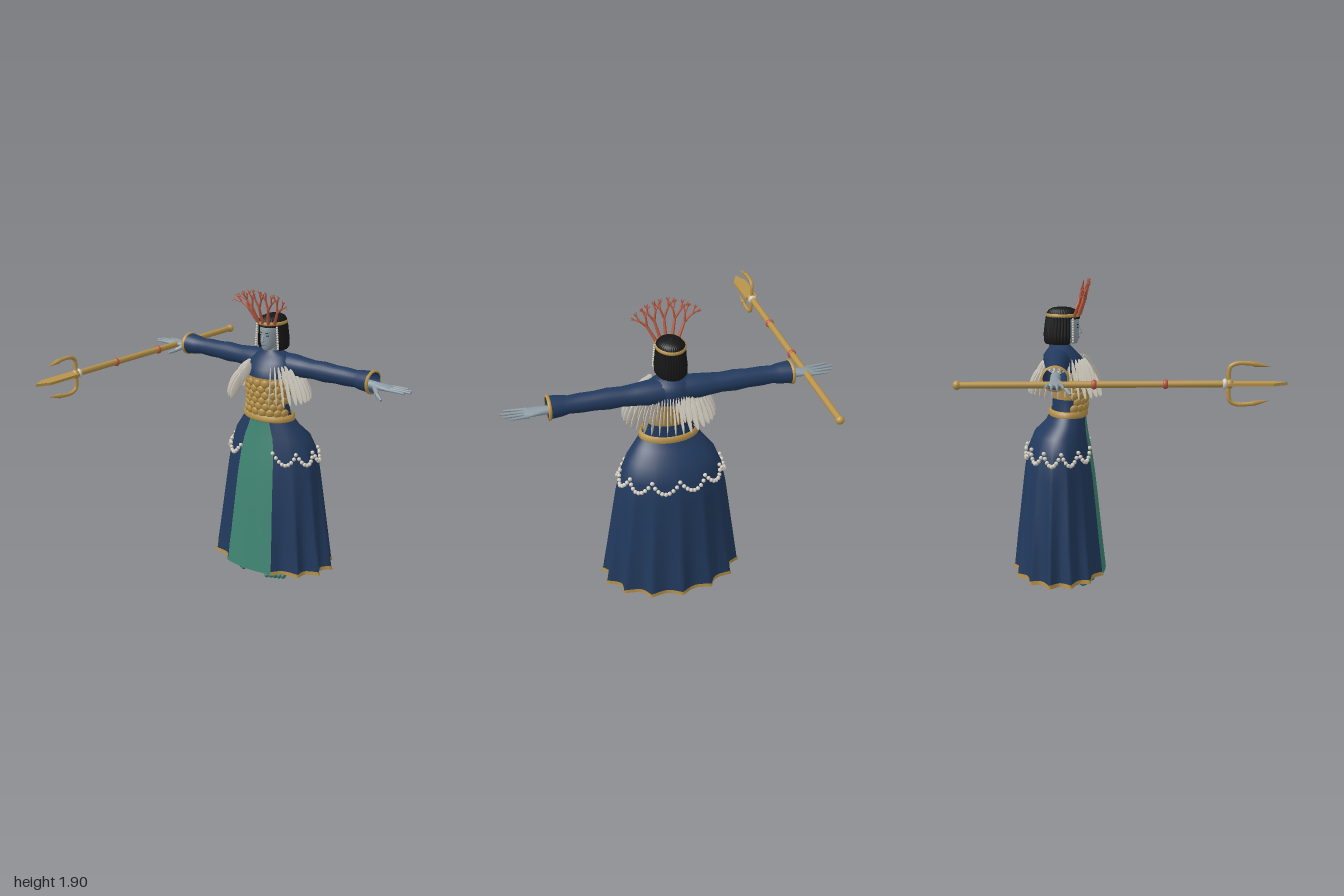
import * as THREE from 'three';
import { mergeGeometries } from 'three/addons/utils/BufferGeometryUtils.js';

const paint = (name, color, side = THREE.FrontSide) => {
  const m = new THREE.MeshStandardMaterial({ color, side });
  m.name = name;
  return m;
};

export function createModel() {
  const root = new THREE.Group();
  root.name = 'seaQueen';
  const navy = paint('navyCloth', 0x223a5e, THREE.DoubleSide);
  const gold = paint('gold', 0xb8934a, THREE.DoubleSide);
  const green = paint('seaGreen', 0x3f8472, THREE.DoubleSide);
  const pearl = paint('pearl', 0xcfc9bd);
  const coral = paint('coral', 0xb5583f);
  const skin = paint('paleSkin', 0x8d9ba4, THREE.DoubleSide);
  const hairMat = paint('blackHair', 0x161617, THREE.DoubleSide);
  const lipMat = paint('lips', 0x66696f);

  const add = (name, geo, mat, parent = root) => {
    const m = new THREE.Mesh(geo, mat);
    m.name = name;
    parent.add(m);
    return m;
  };
  const V = (x, y, z) => new THREE.Vector3(x, y, z);
  const ball = (x, y, z, rx, ry = rx, rz = rx, w = 10, h = 7) =>
    new THREE.SphereGeometry(1, w, h).scale(rx, ry, rz).translate(x, y, z);
  const limb = (a, b, ra, rb, n = 10) => {
    const d = b.clone().sub(a), g = new THREE.CylinderGeometry(rb, ra, d.length(), n);
    g.applyQuaternion(new THREE.Quaternion().setFromUnitVectors(V(0, 1, 0), d.clone().normalize()));
    return g.translate((a.x + b.x) / 2, (a.y + b.y) / 2, (a.z + b.z) / 2);
  };

  // Interpolated section [y, rx, rz, cz] at height y
  const sectionAt = (secs, y) => {
    let i = 0;
    while (i < secs.length - 2 && secs[i + 1][0] < y) i++;
    const t = (y - secs[i][0]) / (secs[i + 1][0] - secs[i][0]);
    return secs[i].map((v, k) => v + (secs[i + 1][k] - v) * t);
  };
  // Stacked ellipses, angle 0 at the front; rule(phi, y) scales the radius
  const loft = (secs, { from = 0, to = Math.PI * 2, n = 32, rule = () => 1, grow = 0 } = {}) => {
    const closed = to - from > 6.28, cols = closed ? n : n + 1, pos = [], idx = [];
    secs.forEach(([y, rx, rz, cz]) => {
      for (let j = 0; j < cols; j++) {
        const p = from + (to - from) * j / n, k = rule(p, y);
        pos.push((rx + grow) * k * Math.sin(p), y, cz + (rz + grow) * k * Math.cos(p));
      }
    });
    for (let i = 0; i < secs.length - 1; i++) for (let j = 0; j < n; j++) {
      const a = i * cols + j, b = i * cols + (j + 1) % cols;
      idx.push(a, b, a + cols, b, b + cols, a + cols);
    }
    const g = new THREE.BufferGeometry();
    g.setAttribute('position', new THREE.Float32BufferAttribute(pos, 3));
    g.setIndex(idx);
    g.computeVertexNormals();
    return g;
  };

  // Fluted overskirt with a plain front panel
  const skirt = [[0.07, 0.44, 0.29, -0.36], [0.3, 0.405, 0.265, -0.36], [0.5, 0.375, 0.243, -0.358],
    [0.7, 0.345, 0.22, -0.357], [0.85, 0.315, 0.198, -0.357], [0.95, 0.272, 0.167, -0.345],
    [1.02, 0.212, 0.128, -0.315], [1.08, 0.17, 0.108, -0.3]];
  const open = 0.42, span = Math.PI * 2 - 2 * open;
  const flute = (p, y) => 1 - 0.13 * Math.max(0, 1 - (y - 0.07) / 0.85) * Math.abs(Math.sin(12 * Math.PI * (p - open) / span));
  const wrap = { from: open, to: open + span, n: 120, rule: flute };
  add('overskirt', loft(skirt, wrap), navy);
  add('hemTrim', loft([sectionAt(skirt, 0.066), sectionAt(skirt, 0.09)], { ...wrap, grow: 0.006 }), gold);
  add('frontPanel', loft(skirt, { from: -open, to: open, n: 16, grow: -0.001 }), green);

  // Pearl swags around the hips
  const pearls = [];
  for (let i = 0; i <= 80; i++) {
    const u = i / 80, p = open + span * u;
    const y = 0.87 - 0.07 * Math.abs(Math.sin(u * 10 * Math.PI));
    const [, rx, rz, cz] = sectionAt(skirt, y), k = flute(p, y);
    pearls.push(ball((rx * k + 0.01) * Math.sin(p), y, cz + (rz * k + 0.01) * Math.cos(p), 0.013));
  }
  add('pearlSwags', mergeGeometries(pearls), pearl);

  // Bodice, corset and belt
  const torso = [[1.06, 0.16, 0.105, -0.3], [1.17, 0.14, 0.1, -0.295], [1.25, 0.145, 0.115, -0.3],
    [1.33, 0.152, 0.132, -0.31], [1.39, 0.155, 0.128, -0.325], [1.43, 0.15, 0.11, -0.34],
    [1.46, 0.125, 0.085, -0.345], [1.48, 0.08, 0.06, -0.34], [1.495, 0.042, 0.042, -0.33]];
  add('bodice', loft(torso), navy);
  add('corset', loft([1.17, 1.25, 1.34].map(y => sectionAt(torso, y)), { grow: 0.005 }), gold);
  add('corsetFront', loft([1.08, 1.17, 1.25, 1.34].map(y => sectionAt(torso, y)), { from: -1.2, to: 1.2, grow: 0.007 }), gold);
  add('belt', loft([[1.055, 0.175, 0.114, -0.3], [1.065, 0.185, 0.122, -0.3], [1.092, 0.183, 0.12, -0.3], [1.1, 0.165, 0.108, -0.3]]), gold);
  const scales = [];
  for (let r = 0; r < 6; r++) {
    const y = 1.115 + r * 0.038, [, rx, rz, cz] = sectionAt(torso, y);
    for (let c = 0; c < 8 - r % 2; c++) {
      const p = (c - (7 - r % 2) / 2) * 0.36;
      scales.push(ball(0, 0, 0, 0.028, 0.028, 0.014).rotateX(0.2).rotateY(p)
        .translate((rx + 0.008) * Math.sin(p), y, cz + (rz + 0.008) * Math.cos(p)));
    }
  }
  add('corsetScales', mergeGeometries(scales), gold);

  // Feather mantle: thin leaves standing radially, open at the front
  const feathers = [];
  [[0.24, 0.205, 1.272, 0.085, 30], [0.2, 0.17, 1.325, 0.085, 29], [0.165, 0.145, 1.36, 0.065, 28]].forEach(([rx, rz, y, len, n]) => {
    for (let i = 0; i < n; i++) {
      const p = 0.58 + (Math.PI * 2 - 1.16) * (i + (30 - n) * 0.1) / (n - 1 + (30 - n) * 0.2);
      feathers.push(ball(0, 0, 0, 0.027, len, 0.004, 8, 10).rotateZ(0.42).rotateY(p - Math.PI / 2)
        .translate(rx * Math.sin(p), y, -0.3 + rz * Math.cos(p)));
    }
  });
  add('featherMantle', mergeGeometries(feathers), pearl);

  // Arms, hands and feet, mirrored
  const sleeve = [[0.06, 0.07, 0.08, 0], [0.14, 0.072, 0.078, 0], [0.22, 0.064, 0.068, 0], [0.3, 0.058, 0.06, 0],
    [0.38, 0.063, 0.062, 0], [0.46, 0.056, 0.056, 0], [0.54, 0.057, 0.057, 0], [0.61, 0.052, 0.054, 0],
    [0.65, 0.06, 0.064, 0], [0.73, 0.067, 0.074, 0]];
  const palm = [[0.58, 0.028, 0.03, 0], [0.72, 0.024, 0.028, 0], [0.77, 0.022, 0.036, 0.003], [0.82, 0.018, 0.044, 0.003],
    [0.86, 0.012, 0.042, 0], [0.868, 0.002, 0.03, 0]];
  const side = s => {
    const g = new THREE.Group();
    g.name = s > 0 ? 'leftSide' : 'rightSide';
    g.scale.x = s;
    root.add(g);
    const along = (geo, y) => geo.rotateZ(-Math.PI / 2).translate(0, y, -0.365);
    add('sleeve', along(loft(sleeve, { n: 24 }), 1.405), navy, g);
    add('cuff', along(loft([[0.715, 0.067, 0.074, 0], [0.72, 0.073, 0.08, 0], [0.732, 0.073, 0.08, 0], [0.735, 0.062, 0.068, 0]]), 1.405), gold, g);
    add('hand', along(loft(palm, { n: 16 }), 1.39), skin, g);
    const digits = [0.945, 0.985, 1, 0.975].map((tip, i) => {
      const z = -0.402 + i * 0.025;
      return limb(V(0.84, 1.39, z), V(tip, 1.393, z + (i - 1.5) * 0.008), 0.011, 0.006, 8);
    });
    digits.push(limb(V(0.755, 1.385, -0.345), V(0.8, 1.355, -0.3), 0.018, 0.013, 8),
      limb(V(0.8, 1.355, -0.3), V(0.842, 1.335, -0.278), 0.013, 0.007, 8));
    add('fingers', mergeGeometries(digits), skin, g);
    const foot = [ball(0.145, 0.032, -0.3, 0.052, 0.032, 0.14, 14, 10),
      limb(V(0.145, 0.03, -0.38), V(0.1, 0.6, -0.36), 0.038, 0.06)];
    for (let i = 0; i < 5; i++)
      foot.push(ball(0.098 + i * 0.024, 0.022, -0.168 - i * 0.012, 0.017 - i * 0.001, 0.02, 0.026));
    add('foot', mergeGeometries(foot), green, g);
    // Pearl strings beside the face
    const drops = [];
    for (let i = 0; i < 10; i++) drops.push(ball(0.078 + i * 0.001, 1.655 - i * 0.015, -0.268, 0.0075));
    add('pearlString', mergeGeometries(drops), pearl, g);
    // Brow and eye
    add('brow', ball(0, 0, 0, 0.016, 0.003, 0.004).rotateZ(0.12).rotateY(0.3).translate(0.026, 1.617, -0.238), hairMat, g);
    add('eye', ball(0, 0, 0, 0.012, 0.004, 0.004).rotateY(0.3).translate(0.025, 1.6, -0.24), hairMat, g);
  };
  side(1);
  side(-1);

  // Head
  add('neck', limb(V(0, 1.46, -0.33), V(0, 1.55, -0.315), 0.042, 0.036, 20), skin);
  add('head', loft([[1.497, 0.004, 0.004, -0.262], [1.503, 0.022, 0.025, -0.268], [1.52, 0.04, 0.048, -0.285],
    [1.545, 0.051, 0.068, -0.3], [1.58, 0.059, 0.083, -0.314], [1.62, 0.064, 0.088, -0.319],
    [1.66, 0.066, 0.09, -0.322], [1.7, 0.05, 0.07, -0.33]]), skin);
  add('nose', mergeGeometries([limb(V(0, 1.605, -0.235), V(0, 1.567, -0.223), 0.006, 0.01), ball(0, 1.566, -0.224, 0.013, 0.008, 0.011)]), skin);
  add('mouth', ball(0, 1.538, -0.235, 0.018, 0.006, 0.007), lipMat);
  const strands = p => 1 + 0.025 * Math.cos(p * 36);
  add('hair', loft([[1.5, 0.082, 0.1, -0.335], [1.515, 0.093, 0.108, -0.335], [1.56, 0.094, 0.112, -0.333],
    [1.62, 0.087, 0.108, -0.33], [1.68, 0.084, 0.1, -0.328]], { from: 1.1, to: Math.PI * 2 - 1.1, n: 108, rule: strands }), hairMat);
  add('hairInner', loft([[1.51, 0.062, 0.075, -0.345], [1.66, 0.07, 0.09, -0.335]], { from: 1.3, to: Math.PI * 2 - 1.3 }), hairMat);
  add('hairCrown', loft([[1.652, 0.08, 0.098, -0.326], [1.685, 0.08, 0.098, -0.328], [1.705, 0.066, 0.082, -0.332],
    [1.718, 0.042, 0.054, -0.335], [1.725, 0.002, 0.002, -0.335]], { n: 108, rule: strands }), hairMat);

  // Coral crown on a gold band
  add('crownBand', loft([[1.664, 0.083, 0.1, -0.326], [1.668, 0.09, 0.107, -0.326], [1.682, 0.09, 0.107, -0.326], [1.686, 0.083, 0.1, -0.326]]), gold);
  const twigs = [];
  const grow = (p, a, len, r, depth) => {
    const q = p.clone().add(V(Math.sin(a) * len, Math.cos(a) * len, len * (depth % 2 ? 0.35 : 0.15)));
    twigs.push(limb(p, q, r, r * 0.75, 7), ball(q.x, q.y, q.z, r * 0.8, r * 0.8, r * 0.8, 7, 5));
    if (depth) [-0.42, 0.38].forEach((t, i) => grow(q, a + t, len * (0.62 - i * 0.06), r * 0.72, depth - 1));
  };
  for (let i = -2; i <= 2; i++) {
    const p = i * 0.42;
    grow(V(0.088 * Math.sin(p), 1.675, -0.326 + 0.1 * Math.cos(p)), i * 0.25, 0.104 - Math.abs(i) * 0.004, 0.0105, 3);
  }
  add('coralCrown', mergeGeometries(twigs), coral);

  // Trident carried level beside the right hand
  const trident = new THREE.Group();
  trident.name = 'trident';
  trident.position.set(-0.82, 1.388, 0);
  root.add(trident);
  add('shaft', limb(V(0, 0, -0.9), V(0, 0, 0.6), 0.019, 0.019, 16), gold, trident);
  add('pommel', ball(0, 0, -0.897, 0.026, 0.026, 0.024, 16, 12), gold, trident);
  [-0.15, 0.24].forEach(z => add('coralRing', ball(0, 0, z, 0.027, 0.027, 0.02, 16, 10), coral, trident));
  add('pearlCollar', ball(0, 0, 0.567, 0.03, 0.03, 0.018, 16, 10), pearl, trident);
  add('headSocket', ball(0, 0, 0.592, 0.028, 0.028, 0.022, 16, 10), gold, trident);
  const blade = new THREE.Shape([[-0.04, 0.59], [0.04, 0.59], [0.042, 0.83], [0, 0.912], [-0.042, 0.83]].map(p => new THREE.Vector2(...p)));
  add('middleBlade', new THREE.ExtrudeGeometry(blade, { depth: 0.016, bevelEnabled: false }).translate(0, 0, -0.008).rotateX(Math.PI / 2), gold, trident);
  [1, -1].forEach(s => {
    const path = new THREE.CatmullRomCurve3([[0, 0.59], [0.05, 0.587], [0.095, 0.596], [0.113, 0.63], [0.113, 0.7], [0.108, 0.74]]
      .map(([y, z]) => V(0, s * y, z)));
    add('outerProng', new THREE.TubeGeometry(path, 24, 0.012, 8), gold, trident);
    add('prongTip', limb(V(0, s * 0.109, 0.725), V(0, s * 0.094, 0.815), 0.016, 0.001, 8), gold, trident);
  });
  return root;
}
